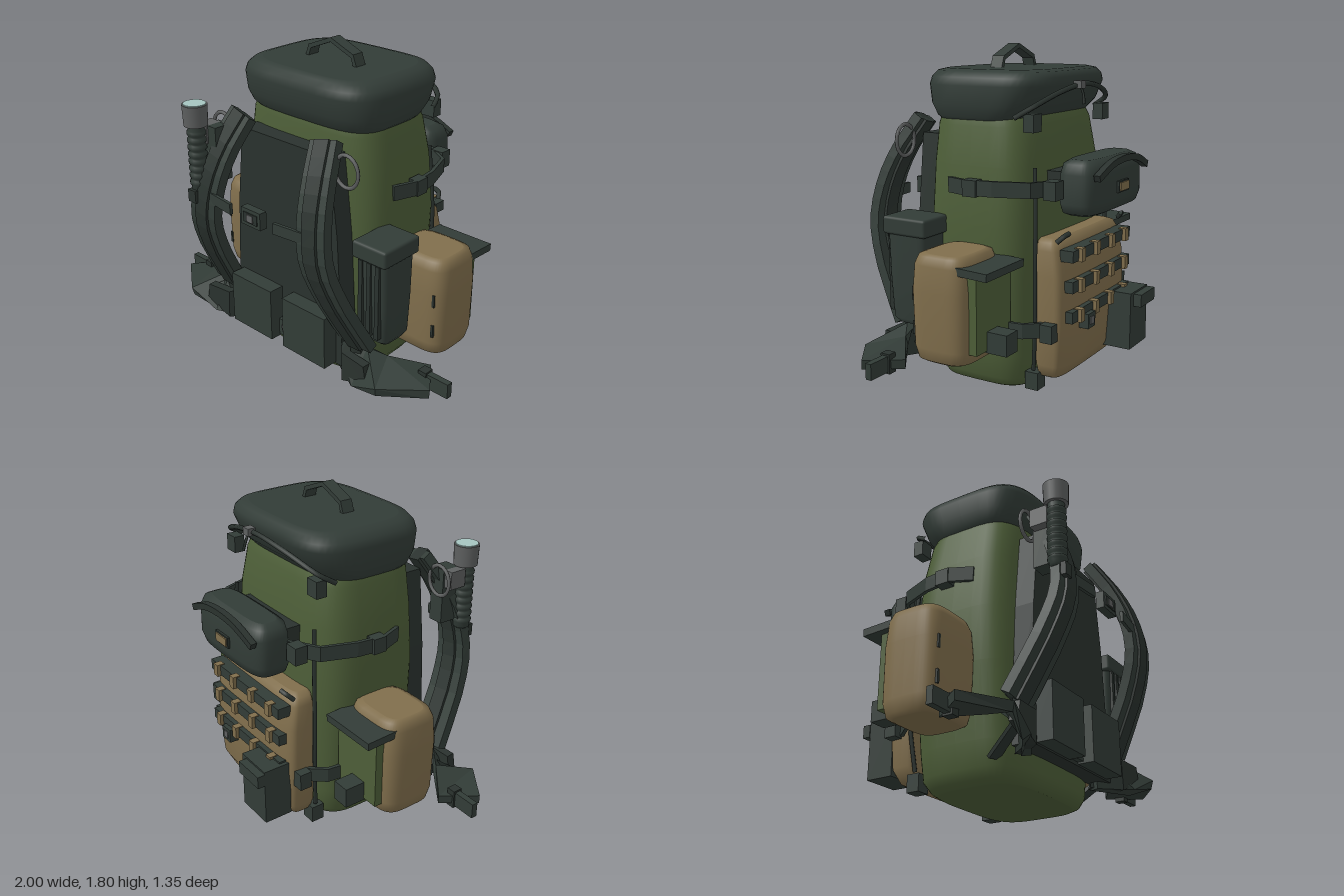
import * as THREE from 'three';
import { RoundedBoxGeometry } from 'three/addons/geometries/RoundedBoxGeometry.js';

const mat = (name, color, side = THREE.FrontSide) => {
  const m = new THREE.MeshStandardMaterial({ color, side });
  m.name = name;
  return m;
};
const V = (x, y, z) => new THREE.Vector3(x, y, z);

// Skin a list of equal-length rings and cap both ends
function skin(rings, flat) {
  const n = rings[0].length, pos = [], idx = [];
  rings.forEach(r => r.forEach(p => pos.push(p.x, p.y, p.z)));
  for (let i = 0; i < rings.length - 1; i++) for (let j = 0; j < n; j++) {
    const a = i * n + j, b = i * n + (j + 1) % n;
    idx.push(a, b, b + n, a, b + n, a + n);
  }
  [rings[0], rings[rings.length - 1]].forEach((r, end) => {
    const base = pos.length / 3;
    r.forEach(p => pos.push(p.x, p.y, p.z));
    for (let j = 1; j < n - 1; j++) {
      idx.push(base, base + (end ? j : j + 1), base + (end ? j + 1 : j));
    }
  });
  let g = new THREE.BufferGeometry();
  g.setAttribute('position', new THREE.Float32BufferAttribute(pos, 3));
  g.setIndex(idx);
  if (flat) g = g.toNonIndexed();
  g.computeVertexNormals();
  return g;
}

// Soft bag: rounded-rectangle sections [y, halfX, zBack, zFront] around cx
function bag(sections, cx = 0, e = 4, n = 48) {
  const f = c => Math.sign(c) * Math.abs(c) ** (2 / e);
  return skin(sections.map(([y, hx, z0, z1]) => Array.from({ length: n }, (_, j) => {
    const a = j / n * Math.PI * 2;
    return V(cx + hx * f(Math.cos(a)), y, (z0 + z1) / 2 - (z1 - z0) / 2 * f(Math.sin(a)));
  })));
}

// Flat strap along points; width directions and widths may vary per point
function strap(pts, width, thick, dirs) {
  const p = pts.map(q => V(...q));
  return skin(p.map((c, i) => {
    const T = p[Math.min(i + 1, p.length - 1)].clone().sub(p[Math.max(i - 1, 0)]).normalize();
    const W = V(...(Array.isArray(dirs[0]) ? dirs[i] : dirs));
    W.addScaledVector(T, -W.dot(T)).normalize();
    const N = T.clone().cross(W), w = (Array.isArray(width) ? width[i] : width) / 2;
    return [[1, -1], [1, 1], [-1, 1], [-1, -1]].map(([u, v]) =>
      c.clone().addScaledVector(W, u * w).addScaledVector(N, v * thick / 2));
  }), true);
}

export function createModel() {
  const group = new THREE.Group();
  const dark = mat('charcoal fabric', 0x323c37), panel = mat('dark webbing', 0x2a322e);
  const green = mat('olive canvas', 0x4d5e38), tan = mat('tan canvas', 0x806e4c);
  const grey = mat('grey metal', 0x5e6060), lens = mat('pale lens', 0xa5c4c0);
  const add = (name, geo, m) => {
    const mesh = new THREE.Mesh(geo, m);
    mesh.name = name;
    group.add(mesh);
    return mesh;
  };
  // Box given by opposite corners, optionally rounded
  const box = (name, m, x0, x1, y0, y1, z0, z1, r = 0) => {
    const s = [Math.abs(x1 - x0), y1 - y0, z1 - z0];
    const mesh = add(name, r ? new RoundedBoxGeometry(...s, 2, r) : new THREE.BoxGeometry(...s), m);
    mesh.position.set((x0 + x1) / 2, (y0 + y1) / 2, (z0 + z1) / 2);
    return mesh;
  };
  const curve = pts => new THREE.CatmullRomCurve3(pts.map(p => V(...p)));
  const tube = (name, m, pts, r) => add(name, new THREE.TubeGeometry(curve(pts), 24, r, 6), m);

  // Main sack and lid
  add('mainSack', bag([[0, 0.36, -0.24, 0.27], [0.02, 0.4, -0.27, 0.3], [0.07, 0.435, -0.3, 0.32], [0.2, 0.455, -0.31, 0.325],
    [0.6, 0.49, -0.33, 0.33], [0.9, 0.5, -0.335, 0.33], [1.2, 0.475, -0.32, 0.32], [1.4, 0.44, -0.29, 0.31], [1.46, 0.42, -0.26, 0.29]]), green);
  add('lid', bag([[1.425, 0.43, -0.24, 0.3], [1.44, 0.445, -0.26, 0.315], [1.5, 0.465, -0.32, 0.345], [1.6, 0.47, -0.365, 0.36],
    [1.64, 0.455, -0.36, 0.352], [1.67, 0.42, -0.34, 0.33], [1.68, 0.38, -0.3, 0.29]]), dark);
  add('carryHandle', strap([[-0.175, 1.66, 0.03], [-0.15, 1.73, 0.03], [0, 1.79, 0.03], [0.15, 1.73, 0.03], [0.175, 1.66, 0.03]], 0.07, 0.024, [0, 0, 1]), dark);
  tube('lidCord', panel, [[-0.44, 1.45, -0.24], [-0.41, 1.5, -0.32], [-0.22, 1.57, -0.38], [0, 1.6, -0.4], [0.22, 1.57, -0.38], [0.41, 1.5, -0.32], [0.44, 1.45, -0.24]], 0.014);
  box('cordClip', grey, 0.045, 0.095, 1.58, 1.62, -0.43, -0.385);
  tube('cordEnd', panel, [[0.07, 1.6, -0.41], [0.07, 1.55, -0.43], [0.08, 1.5, -0.44]], 0.007);

  // Padded frame panel and lumbar pads
  add('framePanel', skin([[0.15, 0.41], [0.9, 0.37], [1.33, 0.32]].map(([y, w]) =>
    [V(w, y, 0.41), V(w, y, 0.3), V(-w, y, 0.3), V(-w, y, 0.41)]), true), panel);
  box('lumbarBuckle', dark, -0.045, 0.045, 0.17, 0.27, 0.4, 0.44);
  box('lumbarBuckleTongue', grey, -0.02, 0.02, 0.2, 0.24, 0.42, 0.447);
  box('chestBuckle', dark, -0.07, 0.07, 0.935, 1.03, 0.61, 0.655);
  box('chestBuckleFrame', panel, -0.05, 0.05, 0.955, 1.01, 0.63, 0.66);
  box('chestBuckleTongue', grey, -0.022, 0.022, 0.963, 1.002, 0.63, 0.665);

  for (const s of [-1, 1]) {
    const mx = pts => pts.map(([x, y, z]) => [s * x, y, z]);
    box('lumbarPad', dark, s * 0.045, s * 0.36, 0.16, 0.465, 0.38, 0.5);

    // Shoulder strap with a raised centre band
    const path = [[0.3, 1.41, 0.41], [0.35, 1.23, 0.52], [0.385, 1.05, 0.59], [0.415, 0.86, 0.61], [0.45, 0.66, 0.55], [0.495, 0.33, 0.38]];
    const smooth = curve(mx(path)).getPoints(12).map(p => p.toArray());
    add('shoulderStrap', strap(smooth, smooth.map((_, i) => 0.165 + 0.05 * i / 12), 0.055, [1, 0, 0]), dark);
    add('shoulderStrapBand', strap(smooth, 0.09, 0.085, [1, 0, 0]), panel);
    add('chestStrap', strap(mx([[0.16, 0.98, 0.645], [0.42, 0.98, 0.615]]), 0.06, 0.018, [0, 1, 0]), dark);
    add('lowerAdjuster', strap(mx([[0.5, 0.36, 0.4], [0.48, 0.23, 0.38], [0.43, 0.1, 0.21]]), 0.07, 0.02, [1, 0, 0]), panel);
    const ring = add('gearRing', new THREE.TorusGeometry(0.075, 0.01, 6, 20), grey);
    ring.position.set(s * 0.45, 1.3, 0.43);
    ring.scale.y = 1.12;

    // Twisted hip belt wing and its end strap
    add('hipWing', strap(mx([[0.34, 0.2, 0.34], [0.55, 0.215, 0.41], [0.68, 0.23, 0.41], [0.88, 0.215, 0.265]]), [0.18, 0.22, 0.23, 0.22], 0.05,
      mx([[0, 1, 0], [-0.2, 0.7, -0.5], [-0.6, 0.25, -0.8], [-0.7, 0, -0.7]])), dark);
    add('hipInnerPad', strap(mx([[0.36, 0.22, 0.32], [0.46, 0.2, 0.44], [0.62, 0.23, 0.45]]), [0.2, 0.17, 0.1], 0.05, [0, 1, 0]), panel);
    box('hipStrapEnd', dark, s * 0.82, s, 0.175, 0.26, 0.245, 0.28);
    box('hipBuckle', panel, s * 0.82, s * 0.87, 0.165, 0.27, 0.235, 0.29);

    // Side pouch
    add('sidePouch', bag([[0.25, 0.15, -0.15, 0.1], [0.265, 0.175, -0.18, 0.13], [0.33, 0.19, -0.195, 0.145], [0.62, 0.195, -0.195, 0.15],
      [0.75, 0.185, -0.185, 0.14], [0.795, 0.17, -0.17, 0.12], [0.805, 0.145, -0.14, 0.09]], s * 0.643), tan);
    for (const y of [0.59, 0.41]) box('pouchLoop', panel, s * 0.776, s * 0.79, y - 0.035, y + 0.035, 0.115, 0.142);

    // Rear side pocket with overhanging flap
    box('rearSidePocket', green, s * 0.46, s * 0.77, 0.32, 0.73, -0.23, -0.14);
    box('rearSideFlap', dark, s * 0.47, s * 0.81, 0.72, 0.76, -0.315, -0.12).rotation.x = -0.04;
    box('rearSideBuckle', dark, s * 0.58, s * 0.68, 0.31, 0.42, -0.345, -0.22);

    // Compression straps
    add('upperCompressionStrap', strap(mx([[0.485, 1.095, 0.12], [0.535, 1.1, 0], [0.515, 1.1, -0.16], [0.45, 1.1, -0.34], [0.3, 1.1, -0.43]]), 0.08, 0.02, [0, 1, 0]), dark);
    box('sideBuckle', dark, s * 0.49, s * 0.55, 1.055, 1.14, -0.08, 0.0);
    box('upperCompressionBuckle', dark, s * 0.33, s * 0.41, 1.05, 1.145, -0.46, -0.39);
    add('lowerCompressionStrap', strap(mx([[0.48, 0.37, -0.15], [0.46, 0.37, -0.3], [0.36, 0.37, -0.42]]), 0.08, 0.02, [0, 1, 0]), dark);
    box('lowerCompressionBuckle', dark, s * 0.36, s * 0.44, 0.32, 0.415, -0.46, -0.39);
    tube('rearPiping', panel, mx([[0.36, 0.13, -0.31], [0.39, 0.4, -0.335], [0.4, 0.7, -0.34], [0.39, 0.95, -0.335], [0.37, 1.2, -0.32]]), 0.012);
    box('lowerTab', dark, s * 0.3, s * 0.38, 0.025, 0.12, -0.345, -0.27);
    box('upperTab', dark, s * 0.34, s * 0.42, 1.38, 1.47, -0.34, -0.28);
    tube('pocketPull', panel, mx([[0.36, 0.83, -0.44], [0.34, 0.86, -0.47], [0.3, 0.87, -0.48]]), 0.014);
  }

  // Large rear pocket with webbing rows
  add('rearPocket', bag([[0.08, 0.3, -0.41, -0.3], [0.1, 0.34, -0.45, -0.3], [0.17, 0.375, -0.485, -0.3], [0.4, 0.39, -0.5, -0.3],
    [0.65, 0.385, -0.49, -0.3], [0.78, 0.37, -0.46, -0.3], [0.82, 0.35, -0.44, -0.3], [0.835, 0.31, -0.41, -0.3]], 0, 5), tan);
  for (const y of [0.76, 0.6, 0.44]) {
    box('webbingRow', dark, -0.34, 0.34, y - 0.03, y + 0.03, -0.525, -0.45);
    for (const x of [-0.26, -0.09, 0.09, 0.26]) box('webbingLoop', tan, x - 0.02, x + 0.02, y - 0.035, y + 0.035, -0.545, -0.5);
  }
  box('webbingClip', dark, 0.13, 0.21, 0.35, 0.43, -0.55, -0.49);
  box('webbingClipTongue', grey, 0.15, 0.19, 0.37, 0.41, -0.555, -0.5);

  // Small box pouch on the rear pocket
  box('boxPouch', dark, -0.36, -0.14, 0.14, 0.46, -0.63, -0.47);
  box('boxPouchTab', dark, -0.365, -0.18, 0.38, 0.45, -0.675, -0.63);

  // Upper rear pouch with zip and label
  add('upperRearPouch', bag([[0.955, 0.26, -0.58, -0.42], [0.97, 0.3, -0.61, -0.4], [1.02, 0.32, -0.625, -0.39], [1.17, 0.315, -0.625, -0.39],
    [1.22, 0.295, -0.605, -0.4], [1.24, 0.25, -0.57, -0.43]]), dark);
  box('rearPouchMount', panel, -0.24, 0.24, 1.02, 1.17, -0.42, -0.3);
  add('rearPouchZip', strap(curve([[-0.29, 1.16, -0.625], [-0.15, 1.215, -0.632], [0, 1.23, -0.632], [0.15, 1.215, -0.632], [0.29, 1.16, -0.625]])
    .getPoints(12).map(p => p.toArray()), 0.035, 0.035, [0, 0, 1]), panel);
  box('rearPouchLabelEdge', panel, -0.06, 0.06, 1.055, 1.115, -0.638, -0.62);
  box('rearPouchLabel', tan, -0.05, 0.05, 1.063, 1.107, -0.645, -0.63);

  // Tall dark holster on the left side
  add('holster', bag([[0.365, 0.075, 0.19, 0.35], [0.39, 0.09, 0.165, 0.38], [0.6, 0.1, 0.16, 0.39], [0.9, 0.1, 0.15, 0.4]], 0.575, 5), dark);
  box('holsterFlap', dark, 0.465, 0.685, 0.84, 0.935, 0.14, 0.41, 0.015);
  for (const x of [0.52, 0.575, 0.63]) box('holsterRib', panel, x - 0.013, x + 0.013, 0.42, 0.84, 0.37, 0.405);

  // Torch with ribbed grip, clipped to the right strap
  const lathe = [[0, 0.99], [0.035, 0.99], [0.045, 1.0]];
  for (let i = 0; i < 8; i++) lathe.push([0.045, 1.02 + i * 0.04], [0.052, 1.03 + i * 0.04], [0.052, 1.045 + i * 0.04], [0.045, 1.05 + i * 0.04]);
  lathe.push([0.045, 1.37]);
  const torch = (name, geo, m, y) => add(name, geo, m).position.set(-0.46, y, 0.605);
  torch('torchGrip', new THREE.LatheGeometry(lathe.map(p => new THREE.Vector2(...p)), 16), dark, 0);
  torch('torchHead', new THREE.CylinderGeometry(0.068, 0.064, 0.115, 24), grey, 1.415);
  torch('torchLens', new THREE.CylinderGeometry(0.06, 0.06, 0.008, 24), lens, 1.474);
  box('torchLoop', panel, -0.49, -0.43, 0.93, 1.0, 0.635, 0.665);
  box('torchHolder', dark, -0.45, -0.36, 1.04, 1.35, 0.46, 0.56);
  box('torchClip', grey, -0.5, -0.42, 1.25, 1.35, 0.47, 0.57);

  return group;
}
